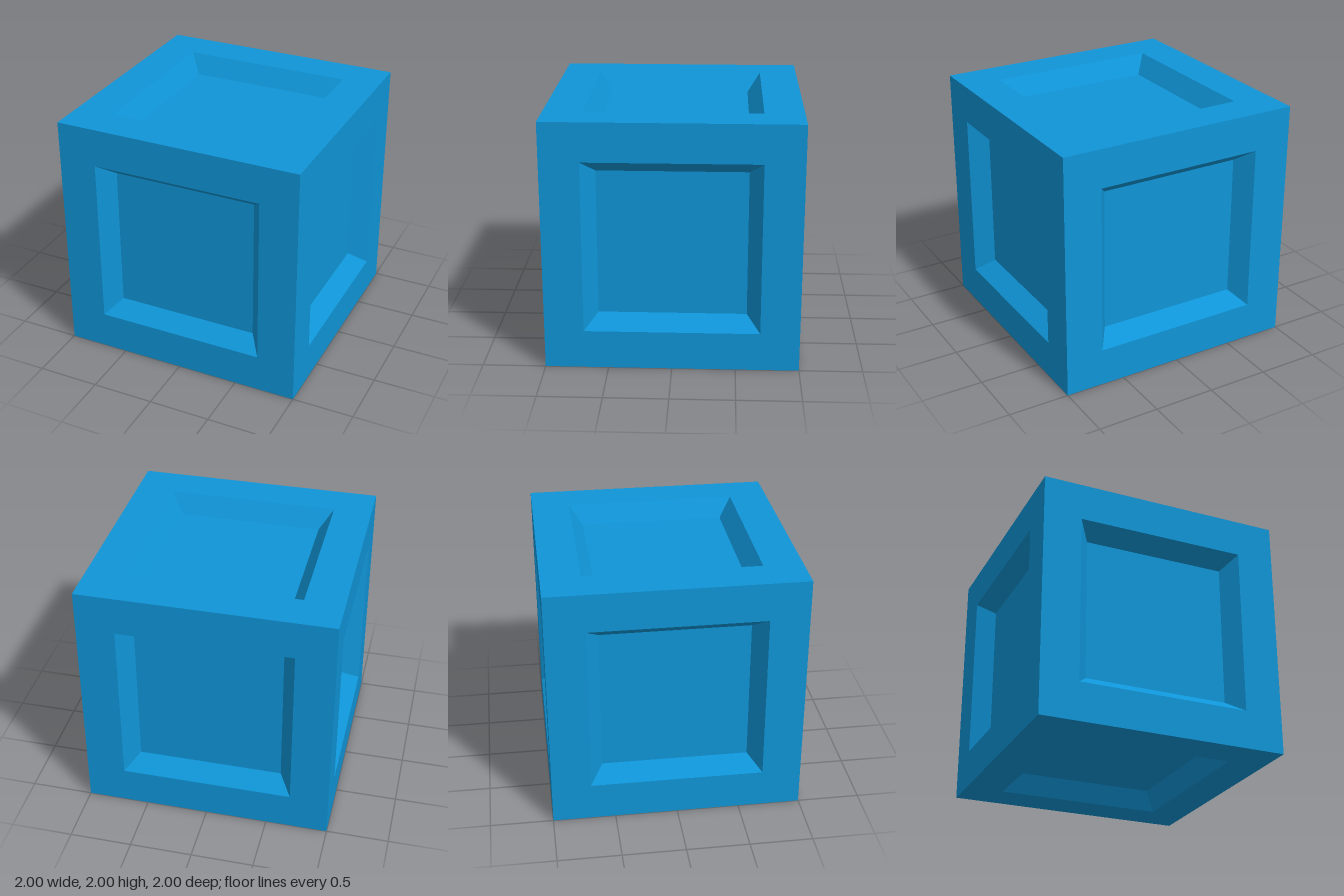
import * as THREE from 'three';

const HALF = 1;        // half the cube's edge
const OPENING = 0.69;  // half width of the recess mouth
const FLOOR = 0.585;   // half width of the recess floor
const DEPTH = 0.145;   // depth of the recess

// Corners of a square facing +z, counter-clockwise
const square = (r, z) => [[-r, -r, z], [r, -r, z], [r, r, z], [-r, r, z]];

// Flat-shaded geometry from a list of quads
function quads(list) {
  const points = list.flatMap(([a, b, c, d]) => [a, b, c, a, c, d]).flat();
  const geometry = new THREE.BufferGeometry();
  geometry.setAttribute('position', new THREE.Float32BufferAttribute(points, 3));
  geometry.computeVertexNormals();
  return geometry;
}

// Band of four quads between an outer and an inner square
const band = (outer, inner) => quads(outer.map((corner, i) => {
  const j = (i + 1) % 4;
  return [corner, outer[j], inner[j], inner[i]];
}));

export function createModel() {
  const blue = new THREE.MeshStandardMaterial({ color: 0x0f94d6 });
  blue.name = 'blue';

  const edge = square(HALF, HALF);
  const mouth = square(OPENING, HALF);
  const floor = square(FLOOR, HALF - DEPTH);
  const parts = {
    Frame: band(edge, mouth),
    RecessWalls: band(mouth, floor),
    RecessFloor: quads([floor]),
  };

  // The same recessed panel on all six sides
  const sides = {
    front: [0, 0], left: [0, Math.PI / 2], back: [0, Math.PI],
    right: [0, -Math.PI / 2], top: [-Math.PI / 2, 0], bottom: [Math.PI / 2, 0],
  };

  const model = new THREE.Group();
  model.name = 'recessedCube';
  for (const [side, [rx, ry]] of Object.entries(sides)) {
    const panel = new THREE.Group();
    panel.name = side + 'Panel';
    for (const [part, geometry] of Object.entries(parts)) {
      const mesh = new THREE.Mesh(geometry, blue);
      mesh.name = side + part;
      panel.add(mesh);
    }
    panel.rotation.set(rx, ry, 0);
    panel.position.y = HALF;
    model.add(panel);
  }
  return model;
}
